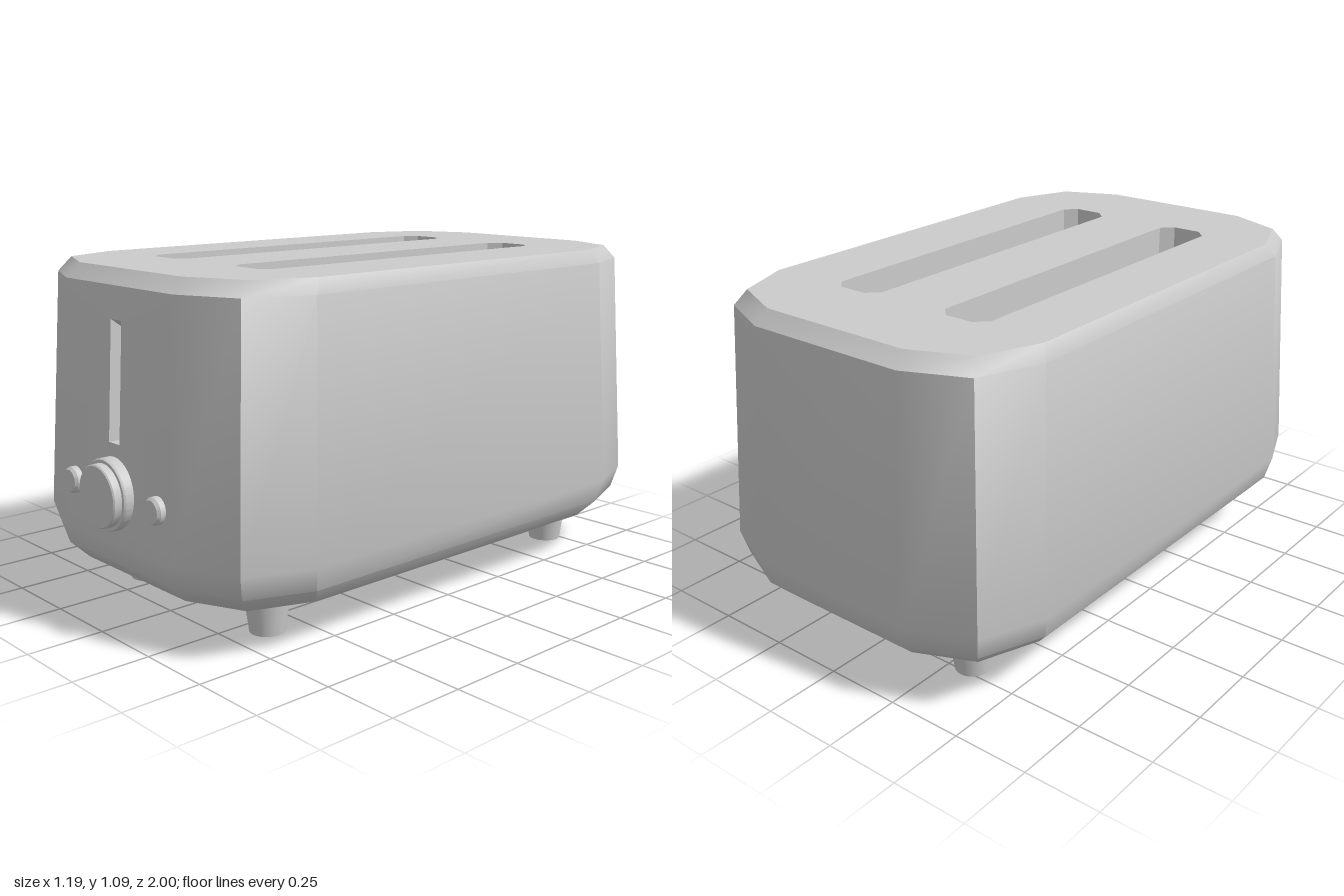
import * as THREE from 'three';
import { toCreasedNormals } from 'three/addons/utils/BufferGeometryUtils.js';

const V = (x, y, z) => new THREE.Vector3(x, y, z);
const BODY_Z = -0.025;

// Unit outline of the body from above, starting with the front edge
const OUTLINE = [
  [-0.504, 1], [0.504, 1], [0.857, 0.908], [1, 0.692], [1, -0.692], [0.857, -0.908],
  [0.504, -1], [-0.504, -1], [-0.857, -0.908], [-1, -0.692], [-1, 0.692], [-0.857, 0.908],
];
const ring = (hx, hz, y) => OUTLINE.map(([u, v]) => V(u * hx, y, BODY_Z + v * hz));

// Rectangle with clipped corners, same direction as the outline
function slotRing(cx, hx, hz, c, y) {
  return [
    [-hx + c, hz], [hx - c, hz], [hx, hz - c], [hx, c - hz],
    [hx - c, -hz], [c - hx, -hz], [-hx, c - hz], [-hx, hz - c],
  ].map(([x, z]) => V(cx + x, y, z - 0.027));
}

// Collects triangles from lofted loops and filled outlines
class Surface {
  constructor() { this.points = []; }

  loft(a, b, skip = -1) {
    for (let i = 0; i < a.length; i++) {
      if (i === skip) continue;
      const j = (i + 1) % a.length;
      this.points.push(a[i], a[j], b[j], a[i], b[j], b[i]);
    }
  }

  fill(loop, holes, facing) {
    const flat = (p) => new THREE.Vector2(p.x, Math.abs(facing.y) > 0.5 ? -p.z : p.y);
    const all = [loop, ...holes].flat();
    const faces = THREE.ShapeUtils.triangulateShape(loop.map(flat), holes.map((h) => h.map(flat)));
    for (const [i, j, k] of faces) {
      const [a, b, c] = [all[i], all[j], all[k]];
      const n = b.clone().sub(a).cross(c.clone().sub(a));
      if (n.dot(facing) > 0) this.points.push(a, b, c);
      else this.points.push(a, c, b);
    }
  }

  geometry(angle) {
    const g = new THREE.BufferGeometry().setFromPoints(this.points);
    return toCreasedNormals(g, angle);
  }
}

function bodyGeometry() {
  const s = new Surface();
  const up = V(0, 1, 0);

  // Tapered shell: half width, half depth, height
  const rings = [
    [0.455, 0.84, 0.12], [0.525, 0.9, 0.142], [0.575, 0.955, 0.198],
    [0.595, 0.975, 0.275], [0.56, 0.927, 1.045], [0.535, 0.885, 1.09],
  ].map((r) => ring(...r));
  const WALL = 3;
  for (let i = 0; i < rings.length - 1; i++) s.loft(rings[i], rings[i + 1], i === WALL ? 0 : -1);
  s.fill(rings[0], [], V(0, -1, 0));

  // Bread slots with chamfered floors
  const openings = [-0.224, 0.203].map((cx) => {
    const top = slotRing(cx, 0.087, 0.608, 0.038, 1.09);
    const low = slotRing(cx, 0.087, 0.608, 0.038, 0.34);
    const floor = slotRing(cx, 0.045, 0.565, 0.015, 0.3);
    s.loft(top, low);
    s.loft(low, floor);
    s.fill(floor, [], up);
    return top;
  });
  s.fill(rings[5], openings, up);

  // Front panel with the recessed lever track
  const [a, b] = rings[WALL];
  const [d, c] = rings[WALL + 1];
  const frontZ = (y) => THREE.MathUtils.mapLinear(y, a.y, d.y, a.z, d.z);
  const track = (y0, y1, inset) => [[-0.027, y0], [0.03, y0], [0.03, y1], [-0.027, y1]]
    .map(([x, y]) => V(x, y, frontZ(y) - inset));
  const mouth = track(0.577, 0.945, 0);
  const back = track(0.577, 0.91, 0.05);
  s.fill([a, b, c, d], [mouth], V(0, 0, 1));
  s.loft(mouth, back);
  s.fill(back, [], V(0, 0, 1));

  return s.geometry(0.6);
}

export function createModel() {
  const model = new THREE.Group();
  const material = new THREE.MeshStandardMaterial({ color: 0xcccccc });

  const add = (name, geometry, x, y, z) => {
    const mesh = new THREE.Mesh(geometry, material);
    mesh.name = name;
    mesh.position.set(x, y, z);
    model.add(mesh);
  };

  // Turned part pointing forward, from [radius, z] pairs
  const turned = (profile, sides) => toCreasedNormals(
    new THREE.LatheGeometry(profile.map(([r, z]) => new THREE.Vector2(r, z)), sides)
      .rotateX(Math.PI / 2), 0.6);

  add('body', bodyGeometry(), 0, 0, 0);

  // Browning dial: wide collar and raised cap
  add('dial', turned([
    [0.112, 0.925], [0.112, 0.966], [0.108, 0.972], [0.098, 0.972], [0.098, 0.996], [0.094, 1], [0, 1],
  ], 32), 0, 0.425, 0);

  // Push buttons
  const button = turned([[0.042, 0.925], [0.042, 0.957], [0.034, 0.966], [0, 0.966]], 24);
  add('rightButton', button, -0.213, 0.425, 0);
  add('leftButton', button, 0.234, 0.425, 0);

  // Tapered feet
  const foot = new THREE.CylinderGeometry(0.073, 0.056, 0.13, 24);
  for (const [side, x] of [['right', -0.317], ['left', 0.329]]) {
    for (const [end, z] of [['Front', 0.622], ['Back', -0.715]]) {
      add(`${side}${end}Foot`, foot, x, 0.065, z);
    }
  }

  return model;
}
